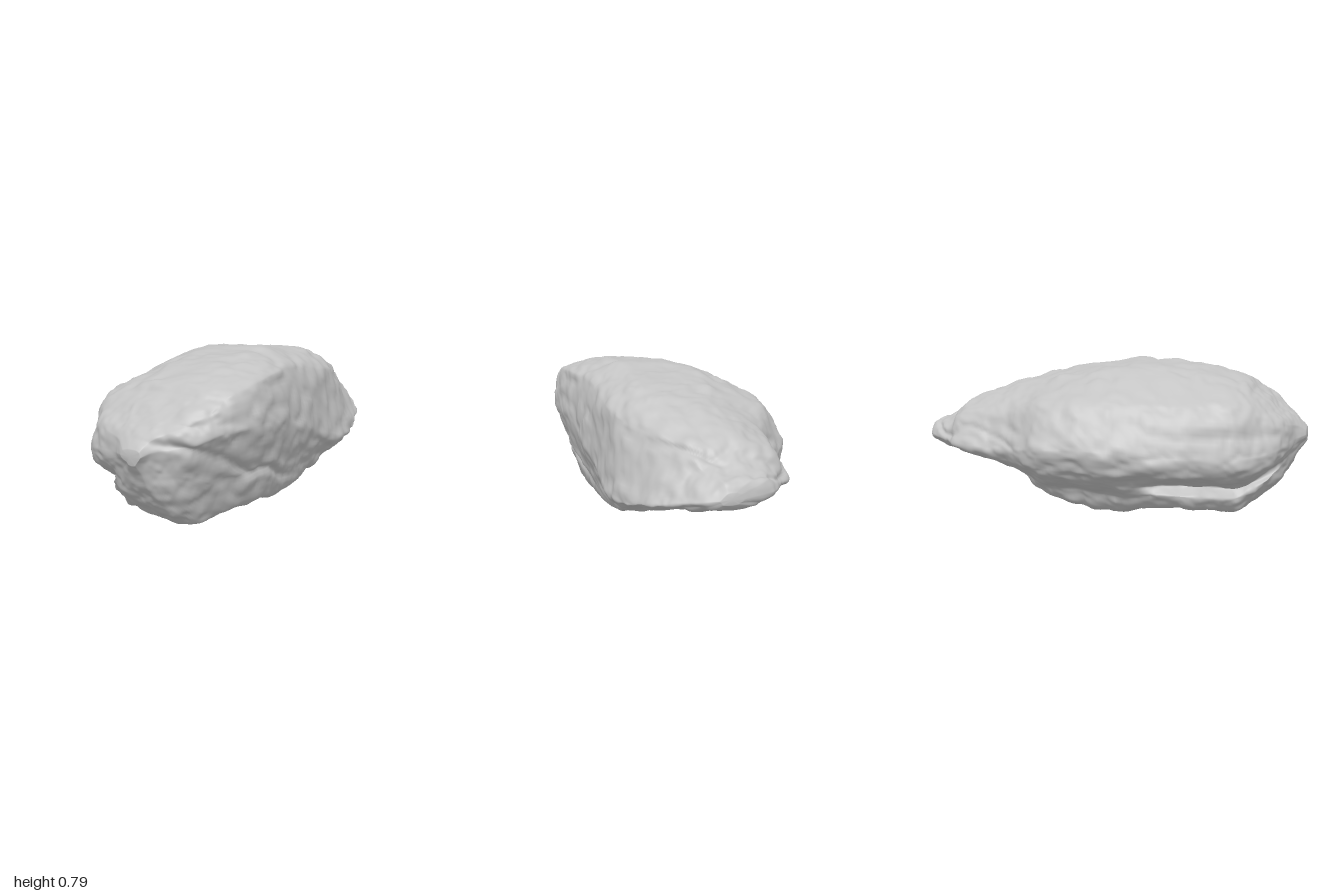
import * as THREE from 'three';

// Lengthwise stations: x, front z, back z, top y, bottom y, front-edge y, back-edge y, lower slab strength
const STATIONS = [
  [-1.0, 0.24, 0.13, 0.44, 0.37, 0.41, 0.41, 0],
  [-0.96, 0.27, 0.05, 0.49, 0.32, 0.43, 0.40, 0.1],
  [-0.91, 0.34, -0.11, 0.53, 0.22, 0.44, 0.38, 0.5],
  [-0.85, 0.43, -0.21, 0.575, 0.14, 0.46, 0.36, 0.8],
  [-0.77, 0.49, -0.28, 0.63, 0.065, 0.49, 0.35, 0.9],
  [-0.68, 0.515, -0.34, 0.69, 0.01, 0.5, 0.34, 1],
  [-0.5, 0.535, -0.42, 0.735, 0.04, 0.5, 0.35, 1],
  [-0.32, 0.52, -0.475, 0.765, 0.05, 0.48, 0.36, 0.6],
  [-0.13, 0.48, -0.52, 0.775, 0.005, 0.43, 0.38, 0],
  [0.05, 0.455, -0.545, 0.755, 0.025, 0.36, 0.39, 0],
  [0.24, 0.44, -0.54, 0.725, 0.07, 0.3, 0.38, 0],
  [0.4, 0.43, -0.43, 0.69, 0.14, 0.26, 0.36, 0],
  [0.56, 0.4, -0.38, 0.64, 0.21, 0.26, 0.35, 0],
  [0.74, 0.33, -0.35, 0.565, 0.27, 0.3, 0.36, 0],
  [0.82, 0.27, -0.28, 0.505, 0.29, 0.32, 0.37, 0],
  [0.88, 0.21, -0.245, 0.475, 0.3, 0.34, 0.37, 0],
  [0.96, 0.13, -0.19, 0.45, 0.315, 0.36, 0.38, 0],
  [0.995, 0.06, -0.04, 0.4, 0.35, 0.37, 0.37, 0],
];
const { lerp, clamp, smoothstep } = THREE.MathUtils;

// Smooth value noise on an integer lattice
function hash(i, j, k) {
  let h = Math.imul(i, 374761393) ^ Math.imul(j, 668265263) ^ Math.imul(k, 2147483647 - 97531);
  h = Math.imul(h ^ (h >>> 13), 1274126177);
  return ((h ^ (h >>> 16)) >>> 0) / 4294967295;
}
function noise(x, y, z) {
  const i = Math.floor(x), j = Math.floor(y), k = Math.floor(z);
  const s = (t) => t * t * (3 - 2 * t);
  const u = s(x - i), v = s(y - j), w = s(z - k);
  const row = (b, c) => lerp(hash(i, b, c), hash(i + 1, b, c), u);
  const layer = (c) => lerp(row(j, c), row(j + 1, c), v);
  return lerp(layer(k), layer(k + 1), w) * 2 - 1;
}

// Cross-section corners, from the front edge over the top to the back and underneath
function section([x, zf, zb, top, bot, yF, yB, slab]) {
  const w = zf - zb;
  const t = smoothstep(x, 0.25, 0.85); // sloping front near the thin end
  const q = smoothstep(-x, 0.3, 0.8); // undercut near the thick end
  return [
    [zf, yF],
    [zf - lerp(0.05, 0.28, t) * w, lerp(yF, top, lerp(0.78, 0.88, t))],
    [zf - lerp(0.22, 0.45, t) * w, top],
    [zf - lerp(0.58, 0.66, t) * w, lerp(yB, top, 0.93 + 0.05 * Math.max(t, q))],
    [zb + 0.12 * w, lerp(yB, top, 0.58 + 0.12 * Math.max(t, q))],
    [zb, yB],
    [zb + (0.03 + 0.03 * q) * w, lerp(yB, bot, 0.32)],
    [zb + (0.1 + 0.07 * slab + 0.08 * q) * w, lerp(yB, bot, 0.52)],
    [zb + (0.19 - 0.12 * slab + 0.13 * q) * w, lerp(yB, bot, 0.66)],
    [zb + (0.27 - 0.13 * slab + 0.14 * q) * w, lerp(yB, bot, 0.9)],
    [zb + 0.55 * w, bot],
    [zf - (0.13 + 0.14 * q) * w, lerp(yF, bot, 0.93)],
    [zf - (0.05 + 0.09 * q) * w, lerp(yF, bot, 0.5)],
  ].map(([z, y]) => new THREE.Vector3(x, y, z));
}

// Surface relief: broad lumps, fine chips, bedding layers and two long cracks
function relief({ x, y, z }) {
  const bed = y + 0.36 * x + 0.1 * z; // tilted bedding direction
  const chips = Math.abs(noise(x * 8 + 20, y * 10, z * 8)) - 0.4;
  let d = 0.01 * noise(x * 4, y * 5, z * 4 + 9) + 0.014 * chips;
  d += 0.007 * noise(x * 17, y * 20, z * 17) + 0.004 * noise(x * 36, y * 40, z * 36);
  const side = 1 - smoothstep(y, 0.25, 0.45);
  d += 0.007 * side * noise(x * 4, bed * 20, z * 4 + 5);
  const wobble = 0.04 * noise(x * 6, 3, z * 6);
  const crack = (v, width) => Math.exp(-((v / width) ** 2));
  const front = smoothstep(z, 0.1, 0.3);
  d -= 0.018 * front * crack(bed - 0.15 + wobble, 0.022) * smoothstep(-x, -0.1, 0.2);
  d -= 0.012 * crack(y - 0.48 - 0.22 * z + wobble, 0.012) * smoothstep(x, 0.3, 0.5);
  return d;
}

function rockGeometry() {
  const rows = 170, cols = 190;
  const sections = STATIONS.map(section);
  const rails = sections[0].map((_, j) =>
    new THREE.CatmullRomCurve3(sections.map((s) => s[j]), false, 'catmullrom', 0.4));
  const pos = [], index = [];
  for (let r = 0; r <= rows; r++) {
    const ring = new THREE.CatmullRomCurve3(rails.map((c) => c.getPoint(r / rows)), true, 'catmullrom', 0.3);
    for (let c = 0; c < cols; c++) pos.push(...ring.getPoint(c / cols).toArray());
  }
  const at = (r, c) => r * cols + (c % cols);
  for (let r = 0; r < rows; r++) {
    for (let c = 0; c < cols; c++) {
      const a = at(r, c), b = at(r + 1, c), d = at(r, c + 1), e = at(r + 1, c + 1);
      index.push(a, b, d, b, e, d);
    }
  }
  // Close both ends with a fan
  const tail = pos.length / 3;
  pos.push(-1.005, 0.41, 0.185, 1.0, 0.375, 0.01);
  for (let c = 0; c < cols; c++) {
    index.push(tail, at(0, c), at(0, c + 1), tail + 1, at(rows, c + 1), at(rows, c));
  }
  const geo = new THREE.BufferGeometry();
  geo.setAttribute('position', new THREE.Float32BufferAttribute(pos, 3));
  geo.setIndex(index);
  geo.computeVertexNormals();

  // Push the surface along its normals by the relief
  const p = geo.attributes.position, n = geo.attributes.normal;
  const v = new THREE.Vector3(), dir = new THREE.Vector3();
  for (let i = 0; i < p.count; i++) {
    v.fromBufferAttribute(p, i);
    dir.fromBufferAttribute(n, i);
    const fade = clamp((1.02 - Math.abs(v.x)) / 0.12, 0.1, 1);
    v.addScaledVector(dir, relief(v) * fade);
    p.setXYZ(i, v.x, v.y, v.z);
  }
  // Rest on the ground, centred
  geo.computeBoundingBox();
  const box = geo.boundingBox, mid = box.getCenter(new THREE.Vector3());
  geo.translate(-mid.x, -box.min.y, -mid.z);
  geo.computeVertexNormals();
  return geo;
}

export function createModel() {
  const stone = new THREE.MeshStandardMaterial({ color: 0xc4c4c4 });
  stone.name = 'stone grey';
  const rock = new THREE.Mesh(rockGeometry(), stone);
  rock.name = 'boulder';
  const group = new THREE.Group();
  group.name = 'rock';
  group.add(rock);
  return group;
}
